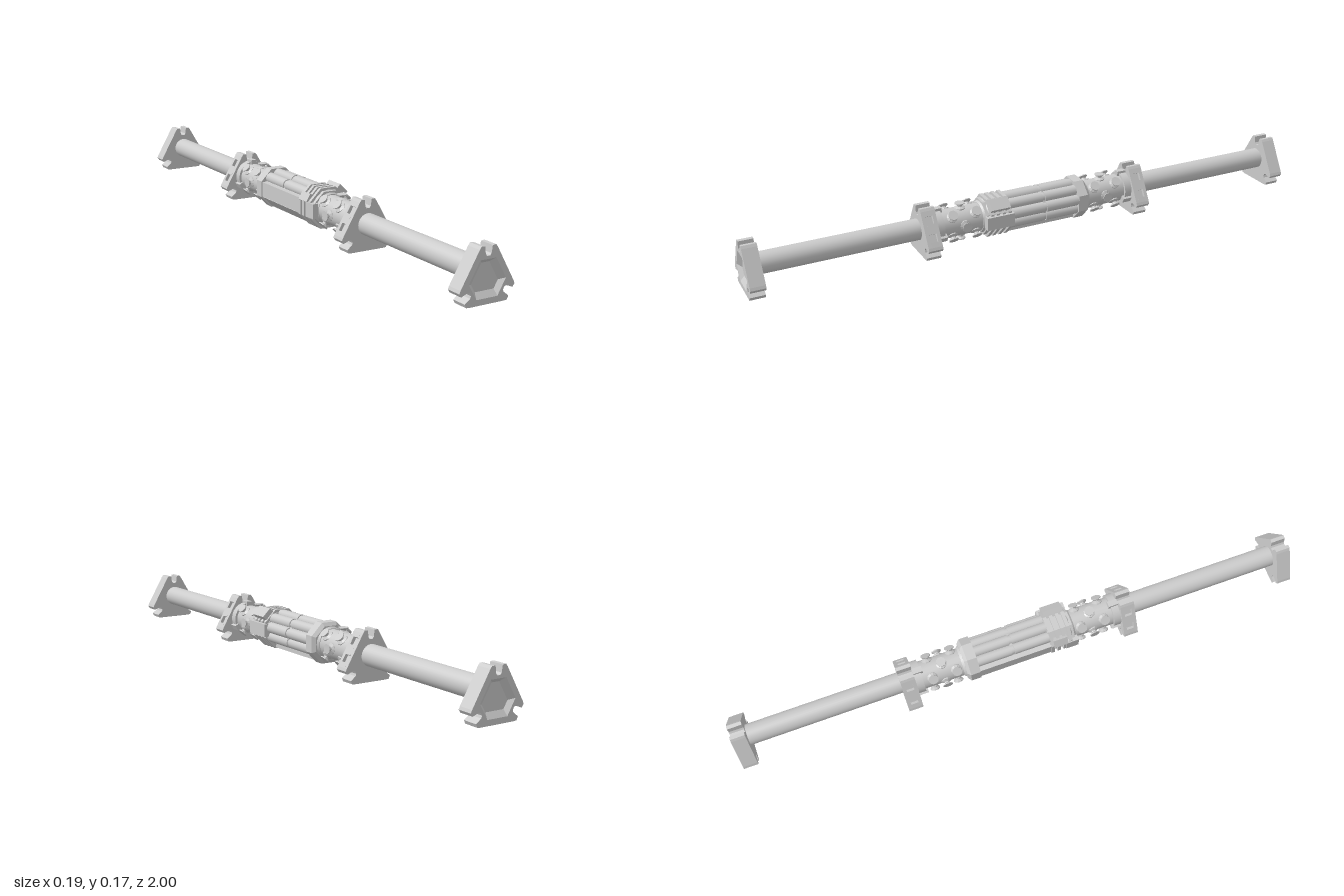
import * as THREE from 'three';

const mat = new THREE.MeshStandardMaterial({ color: 0xcccccc });
const flat = new THREE.MeshStandardMaterial({ color: 0xcccccc, flatShading: true, side: THREE.DoubleSide });
const PLATE_Y = 0.072, AXIS_Y = 0.087;
const rad = THREE.MathUtils.degToRad;

function add(parent, name, geo, x, y, z, material = flat) {
  const m = new THREE.Mesh(geo, material);
  m.name = name;
  m.position.set(x, y, z);
  parent.add(m);
  return m;
}

// Point at height h along a direction, shifted t clockwise
function polar(deg, t, h) {
  const c = Math.cos(rad(deg)), s = Math.sin(rad(deg));
  return new THREE.Vector2(h * c + t * s, h * s - t * c);
}

// Notched triangular outline, optionally with two pockets in each edge
function plateOutline(pockets) {
  const corner = [[-0.031, 0.088], [-0.025, 0.096], [-0.013, 0.095], [-0.01, 0.073], [-0.005, 0.067],
    [0.005, 0.067], [0.01, 0.073], [0.013, 0.095], [0.025, 0.096], [0.031, 0.088]];
  const pts = [];
  for (const a of [90, -30, -150]) {
    corner.forEach(([t, h]) => pts.push(polar(a, t, h)));
    if (pockets) for (const c of [-0.03, 0.03])
      [[-1, 0.071], [-1, 0.06], [1, 0.06], [1, 0.071]].forEach(([s, h]) => pts.push(polar(a - 60, c + s * 0.013, h)));
  }
  return pts;
}

// Triangle with clipped corners
function clippedTriangle(inner, clip) {
  const half = (2 * inner - clip) * Math.tan(rad(60));
  return [90, -30, -150].flatMap(a => [polar(a, -half, clip), polar(a, half, clip)]);
}

function plate(parent, name, pts, z, depth, hole) {
  const shape = new THREE.Shape(pts);
  if (hole) shape.holes.push(new THREE.Path(hole));
  return add(parent, name, new THREE.ExtrudeGeometry(shape, { depth, bevelEnabled: false }), 0, PLATE_Y, z);
}

// Sloping walls joining two outlines at different depths
function slopedWalls(outer, inner, z0, z1) {
  const pos = [];
  outer.forEach((a, i) => {
    const j = (i + 1) % outer.length, b = outer[j], c = inner[j], d = inner[i];
    pos.push(a.x, a.y, z0, b.x, b.y, z0, c.x, c.y, z1, a.x, a.y, z0, c.x, c.y, z1, d.x, d.y, z1);
  });
  const g = new THREE.BufferGeometry();
  g.setAttribute('position', new THREE.Float32BufferAttribute(pos, 3));
  g.computeVertexNormals();
  return g;
}

// Cylinder or prism lying along z
function drum(parent, name, r, z, len, sides = 24, r2 = r) {
  const g = new THREE.CylinderGeometry(r2, r, len, sides, 1);
  if (sides < 12) g.rotateY(Math.PI / sides);
  g.rotateX(Math.PI / 2);
  return add(parent, name, g, 0, AXIS_Y, z, sides < 12 ? flat : mat);
}

// Box set on the body, facing outward at an angle
function sideBox(parent, name, deg, r, z, radial, width, len) {
  const p = polar(deg, 0, r);
  const m = add(parent, name, new THREE.BoxGeometry(radial, width, len), p.x, AXIS_Y + p.y, z);
  m.rotation.z = rad(deg);
}

// Spool-shaped stud, pointing outward at an angle
const studGeo = new THREE.LatheGeometry(
  [[0.019, 0], [0.019, 0.004], [0.009, 0.009], [0.009, 0.013], [0.017, 0.018], [0.017, 0.021], [0, 0.021]]
    .map(([x, y]) => new THREE.Vector2(x, y)), 10);
function stud(parent, deg, z) {
  const p = polar(deg, 0, 0.044);
  add(parent, 'stud', studGeo, p.x, AXIS_Y + p.y, z).rotation.z = rad(deg - 90);
}

// One half of the staff, pointing to +z
function makeHalf() {
  const g = new THREE.Group();
  drum(g, 'shaft', 0.036, 0.67, 0.57, 32);

  // End cap with a recessed triangle in its face
  const outer = clippedTriangle(0.037, 0.058), floor = clippedTriangle(0.027, 0.046);
  plate(g, 'endCap', plateOutline(false), 0.95, 0.036);
  plate(g, 'endCapFace', plateOutline(false), 0.986, 0.014, outer);
  add(g, 'recessWalls', slopedWalls(outer, floor, 1, 0.987), 0, PLATE_Y, 0);

  // Inner flange, pocketed along its edges
  plate(g, 'flange', plateOutline(false), 0.368, 0.012);
  plate(g, 'flangePockets', plateOutline(true), 0.38, 0.026);
  plate(g, 'flange', plateOutline(false), 0.406, 0.012);
  for (const a of [90, -30, -150]) sideBox(g, 'flangeBrace', a, 0.05, 0.352, 0.026, 0.02, 0.034);

  // Studded neck
  drum(g, 'neck', 0.048, 0.27, 0.2);
  drum(g, 'neckCollar', 0.056, 0.355, 0.025);
  drum(g, 'neckCollar', 0.062, 0.193, 0.018, 24, 0.05);
  for (let a = 0; a < 360; a += 90) {
    stud(g, a, 0.267);
    stud(g, a + 45, 0.225);
    stud(g, a + 45, 0.309);
  }
  return g;
}

export function createModel() {
  const model = new THREE.Group();
  model.name = 'staff';
  const front = makeHalf(), back = makeHalf();
  front.name = 'frontHalf';
  back.name = 'backHalf';
  back.rotation.y = Math.PI;
  model.add(front, back);

  // Grip core with long rods in two lengths
  const grip = new THREE.Group();
  grip.name = 'grip';
  model.add(grip);
  drum(grip, 'gripCore', 0.055, -0.02, 0.34);
  for (const a of [-30, 10, 50, 90, 130]) {
    const p = polar(a, 0, 0.049);
    for (const z of [-0.093, 0.045]) {
      const rod = drum(grip, 'gripRod', 0.019, z, 0.128, 16);
      rod.position.x += p.x;
      rod.position.y += p.y;
    }
    const joint = drum(grip, 'rodJoint', 0.016, -0.024, 0.02, 16);
    joint.position.x += p.x;
    joint.position.y += p.y;
  }
  // Smooth panels on the right and underneath
  for (const a of [180, 225, 270]) sideBox(grip, 'gripPanel', a, 0.054, -0.02, 0.022, 0.052, 0.26);

  // Eight-sided collar at the back of the grip
  drum(grip, 'backCollar', 0.074, -0.167, 0.034, 8);
  drum(grip, 'backCollarLip', 0.074, -0.189, 0.01, 8, 0.062).rotation.y = Math.PI;

  // Ribbed collar and control blocks at the front of the grip
  for (const z of [0.113, 0.135, 0.157, 0.177]) drum(grip, 'collarRib', 0.074, z, 0.012, 8);
  drum(grip, 'collarCore', 0.064, 0.15, 0.09, 8);
  sideBox(grip, 'controlBlock', 0, 0.066, 0.15, 0.022, 0.045, 0.1);
  sideBox(grip, 'controlBlock', 45, 0.074, 0.148, 0.024, 0.04, 0.07);
  sideBox(grip, 'controlBlock', 180, 0.062, 0.182, 0.02, 0.05, 0.044);
  sideBox(grip, 'controlBlock', 150, 0.066, 0.14, 0.02, 0.03, 0.05);
  return model;
}
